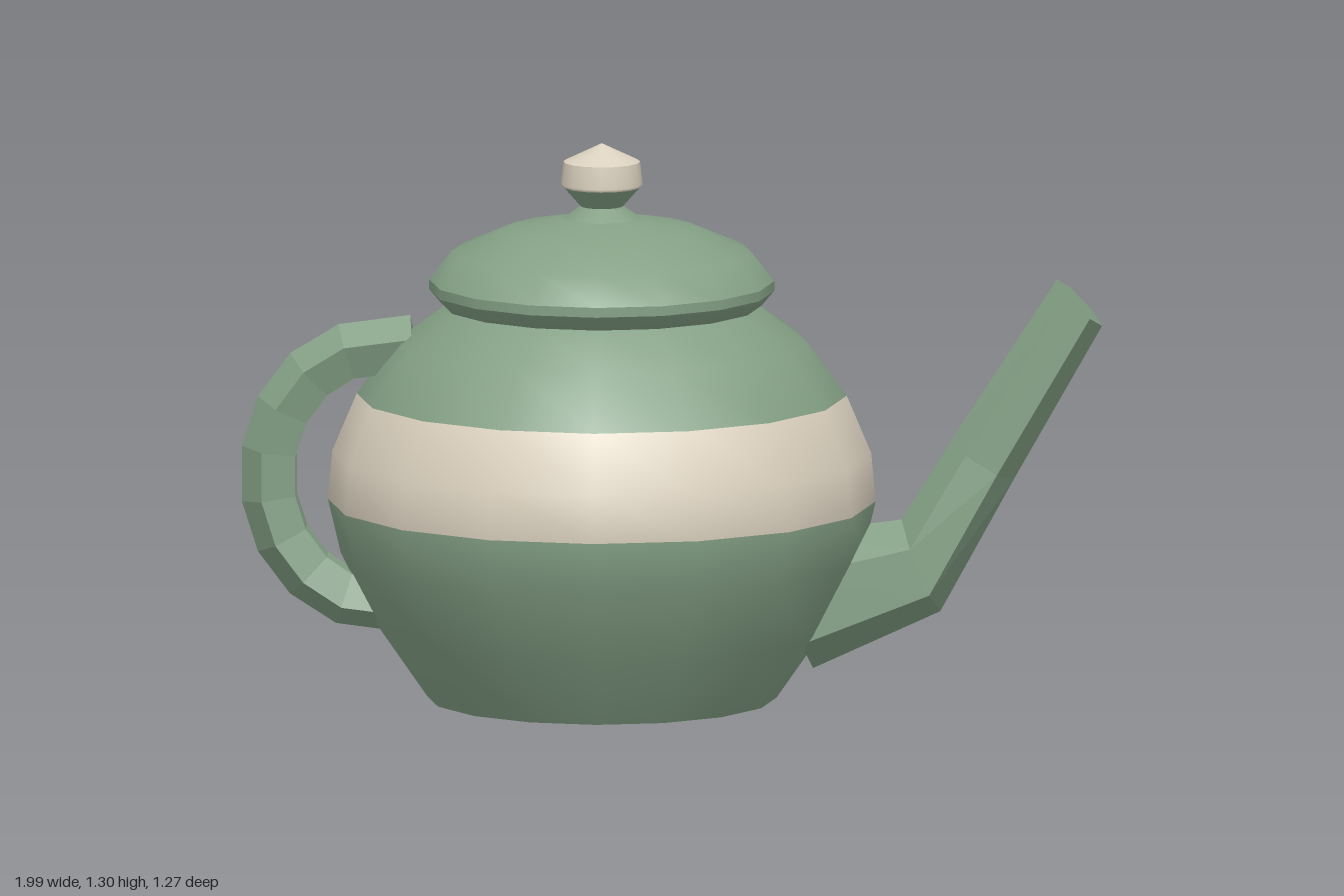
import * as THREE from 'three';

const SIDES = 16;
const AXIS_X = -0.165; // the pot's turning axis

const green = new THREE.MeshStandardMaterial({ color: 0x84a085 });
green.name = 'sage green';
const cream = new THREE.MeshStandardMaterial({ color: 0xdad0be });
cream.name = 'cream';

// Smooth turned surface; rows lists the profile segments that take the second material.
function turned(name, points, material, rows = []) {
  const geo = new THREE.LatheGeometry(points.map(p => new THREE.Vector2(...p)), SIDES);
  const n = points.length - 1;
  const old = Array.from(geo.index.array);
  const parts = [[], []];
  const stride = old.length / SIDES;
  const per = stride / n;
  for (let i = 0; i < SIDES; i++) {
    for (let j = 0; j < n; j++) {
      const start = i * stride + j * per;
      parts[rows.includes(j) ? 1 : 0].push(...old.slice(start, start + per));
    }
  }
  let mat = material;
  if (rows.length) {
    geo.setIndex([...parts[0], ...parts[1]]);
    geo.addGroup(0, parts[0].length, 0);
    geo.addGroup(parts[0].length, parts[1].length, 1);
    mat = [material, cream];
  }
  const mesh = new THREE.Mesh(geo, mat);
  mesh.name = name;
  mesh.position.x = AXIS_X;
  return mesh;
}

// Cross-section: regular polygon with one corner along u (in the xy plane).
function ring(cx, cy, ux, uy, width, sides) {
  return Array.from({ length: sides }, (_, k) => {
    const a = (k / sides) * Math.PI * 2;
    const c = Math.cos(a);
    return [cx + ux * c, cy + uy * c, width * Math.sin(a)];
  });
}

// Flat-sided skin through a row of cross-sections, capped at both ends.
function loft(name, rings) {
  const pos = [];
  const tri = (a, b, c) => pos.push(...a, ...b, ...c);
  const sides = rings[0].length;
  for (let r = 0; r < rings.length - 1; r++) {
    for (let k = 0; k < sides; k++) {
      const m = (k + 1) % sides;
      tri(rings[r][k], rings[r][m], rings[r + 1][m]);
      tri(rings[r][k], rings[r + 1][m], rings[r + 1][k]);
    }
  }
  const first = rings[0], last = rings[rings.length - 1];
  for (let k = 1; k < sides - 1; k++) {
    tri(first[0], first[k + 1], first[k]);
    tri(last[0], last[k], last[k + 1]);
  }
  const geo = new THREE.BufferGeometry();
  geo.setAttribute('position', new THREE.Float32BufferAttribute(pos, 3));
  geo.computeVertexNormals();
  const mesh = new THREE.Mesh(geo, green);
  mesh.name = name;
  return mesh;
}

export function createModel() {
  const model = new THREE.Group();
  model.name = 'teapot';

  // Body with a painted band, and its base
  model.add(turned('body', [
    [0.405, 0], [0.52, 0.165], [0.605, 0.335], [0.635, 0.462],
    [0.625, 0.575], [0.568, 0.71], [0.475, 0.837], [0.36, 0.92],
  ], green, [3, 4]));
  const base = new THREE.Mesh(new THREE.CircleGeometry(0.405, SIDES), green);
  base.name = 'base';
  base.rotation.x = Math.PI / 2;
  base.position.x = AXIS_X;
  model.add(base);

  // Lid, in pieces so that its rims stay sharp
  const lid = new THREE.Group();
  lid.name = 'lid';
  lid.add(
    turned('lidUnderside', [[0.355, 0.918], [0.37, 0.92], [0.4, 0.955]], green),
    turned('lidRim', [[0.4, 0.955], [0.4, 0.978]], green),
    turned('lidDome', [[0.4, 0.978], [0.348, 1.045], [0.22, 1.1], [0.09, 1.125]], green),
    turned('lidCollar', [[0.09, 1.125], [0.05, 1.153]], green),
    turned('knobNeck', [[0.05, 1.153], [0.09, 1.198]], green),
    turned('knobSide', [[0.09, 1.198], [0.095, 1.205], [0.089, 1.257]], cream),
    turned('knobTop', [[0.089, 1.257], [0, 1.3]], cream),
  );
  model.add(lid);

  // Handle: five-sided bar with its ridge outward, from the lower end up
  const path = [
    [-0.62, 0.22], [-0.76, 0.237], [-0.84, 0.29], [-0.9, 0.37], [-0.93, 0.465],
    [-0.93, 0.575], [-0.9, 0.67], [-0.84, 0.752], [-0.755, 0.805], [-0.6, 0.825],
  ];
  model.add(loft('handle', path.map(([x, y], i) => {
    const a = path[Math.max(i - 1, 0)], b = path[Math.min(i + 1, path.length - 1)];
    const dx = b[0] - a[0], dy = b[1] - a[1];
    const s = 0.07 / Math.hypot(dx, dy);
    return ring(x, y, -dy * s, dx * s, 0.07, 5);
  })));

  // Spout: six-sided, given by the lower and upper ridge points and the size across
  const spout = [
    [0.325, 0.07, 0.235, 0.38, 0.162],
    [0.62, 0.205, 0.53, 0.42, 0.125],
    [0.79, 0.515, 0.645, 0.605, 0.092],
    [0.995, 0.877, 0.89, 0.985, 0.078],
  ];
  model.add(loft('spout', spout.map(([x0, y0, x1, y1, w]) =>
    ring((x0 + x1) / 2, (y0 + y1) / 2, (x1 - x0) / 2, (y1 - y0) / 2, w, 6))));

  return model;
}
